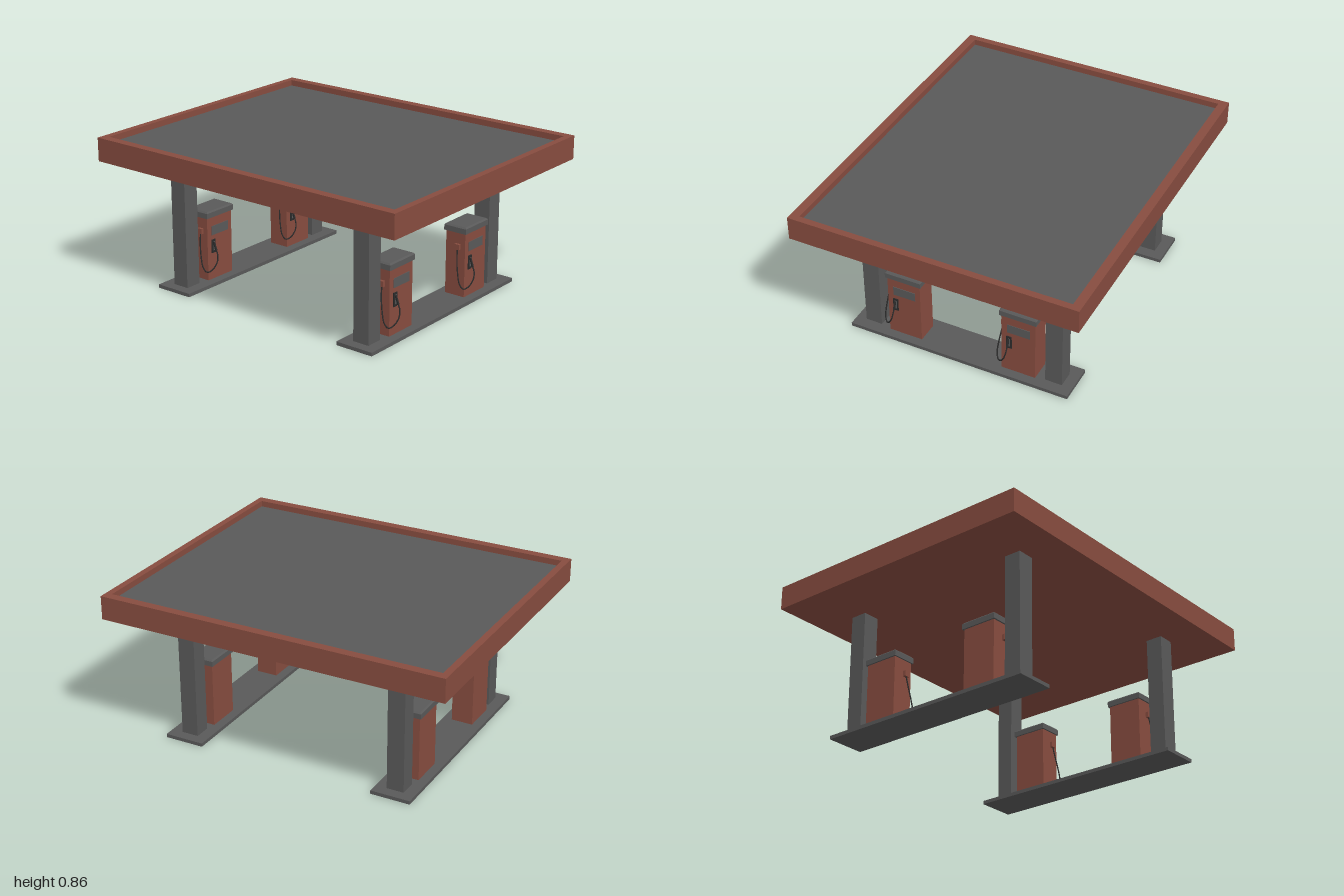
import * as THREE from 'three';

const red = new THREE.MeshStandardMaterial({ color: 0x874c3f });
red.name = 'brick red';
const grey = new THREE.MeshStandardMaterial({ color: 0x595959 });
grey.name = 'mid grey';
const dark = new THREE.MeshStandardMaterial({ color: 0x2b2b2b });
dark.name = 'dark rubber';

function add(parent, name, geometry, material, x = 0, y = 0, z = 0) {
  const mesh = new THREE.Mesh(geometry, material);
  mesh.name = name;
  mesh.position.set(x, y, z);
  parent.add(mesh);
  return mesh;
}

// Box placed by its bottom centre
function box(parent, name, material, w, h, d, x, y, z) {
  return add(parent, name, new THREE.BoxGeometry(w, h, d), material, x, y + h / 2, z);
}

// Box whose upper edges are chamfered
function chamferedBox(w, h, d, c) {
  const indexed = new THREE.BoxGeometry(w, h, d, 1, 2, 1);
  const p = indexed.attributes.position;
  for (let i = 0; i < p.count; i++) {
    const y = p.getY(i);
    if (Math.abs(y) < 1e-6) p.setY(i, h / 2 - c);
    else if (y > 0) {
      p.setX(i, p.getX(i) - Math.sign(p.getX(i)) * c);
      p.setZ(i, p.getZ(i) - Math.sign(p.getZ(i)) * c);
    }
  }
  const g = indexed.toNonIndexed();
  g.computeVertexNormals();
  return g;
}

// Pump with its origin at ground level under the body, facing +z
function makePump() {
  const pump = new THREE.Group();
  pump.name = 'fuelPump';
  const front = 0.062;
  box(pump, 'pumpBody', red, 0.197, 0.367, 0.124, 0, 0.02, 0);
  add(pump, 'pumpCap', chamferedBox(0.215, 0.038, 0.142, 0.008), grey, 0, 0.406, 0);
  box(pump, 'displayPanel', grey, 0.132, 0.053, 0.004, 0.002, 0.279, front + 0.001);

  // Nozzle cradle on the front
  box(pump, 'nozzleCradle', dark, 0.03, 0.078, 0.006, -0.053, 0.175, front + 0.002);
  box(pump, 'cradlePlate', grey, 0.012, 0.052, 0.004, -0.051, 0.189, front + 0.005);
  const handle = box(pump, 'nozzleHandle', dark, 0.009, 0.05, 0.009, -0.054, 0.19, front + 0.015);
  handle.rotation.x = -0.35;

  // Hose outlet on the side and the hanging hose
  box(pump, 'hoseOutlet', red, 0.018, 0.031, 0.03, -0.106, 0.292, 0.018);
  const path = new THREE.CatmullRomCurve3([
    [-0.053, 0.205, 0.079], [-0.056, 0.165, 0.097], [-0.067, 0.125, 0.1],
    [-0.092, 0.088, 0.088], [-0.115, 0.075, 0.07], [-0.129, 0.1, 0.054],
    [-0.127, 0.17, 0.036], [-0.116, 0.245, 0.023], [-0.106, 0.3, 0.018],
  ].map((v) => new THREE.Vector3(...v)));
  add(pump, 'hose', new THREE.TubeGeometry(path, 40, 0.0038, 8), dark);
  return pump;
}

// Rectangle outline, usable as a shape or a hole
function rectangle(Type, x, z) {
  return new Type([[-x, -z], [x, -z], [x, z], [-x, z]].map((v) => new THREE.Vector2(...v)));
}

export function createModel() {
  const model = new THREE.Group();
  model.name = 'fuelStation';

  // Canopy: closed slab, raised rim and recessed roof deck
  const canopy = new THREE.Group();
  canopy.name = 'canopy';
  model.add(canopy);
  const bottom = 0.73, top = 0.864, deck = 0.83;
  const rim = rectangle(THREE.Shape, 0.82, 1);
  rim.holes.push(rectangle(THREE.Path, 0.77, 0.962));
  const rimGeometry = new THREE.ExtrudeGeometry(rim, { depth: top - bottom, bevelEnabled: false });
  rimGeometry.rotateX(-Math.PI / 2);
  add(canopy, 'canopyFascia', rimGeometry, red, 0, bottom, 0);
  box(canopy, 'canopyCeiling', red, 1.54, 0.05, 1.924, 0, bottom, 0);
  box(canopy, 'roofDeck', grey, 1.54, deck - bottom - 0.05, 1.924, 0, bottom + 0.05, 0);

  // Two islands, each with two columns and two pumps
  for (const z of [0.63, -0.63]) {
    const island = new THREE.Group();
    island.name = z > 0 ? 'frontIsland' : 'rearIsland';
    island.position.z = z;
    model.add(island);
    box(island, 'islandBase', grey, 1.304, 0.02, 0.228, 0, 0, 0);
    for (const x of [-0.546, 0.543]) {
      box(island, 'column', grey, 0.097, bottom - 0.02, 0.098, x, 0.02, 0);
    }
    for (const x of [-0.338, 0.343]) {
      const pump = makePump();
      pump.position.x = x;
      island.add(pump);
    }
  }
  return model;
}
